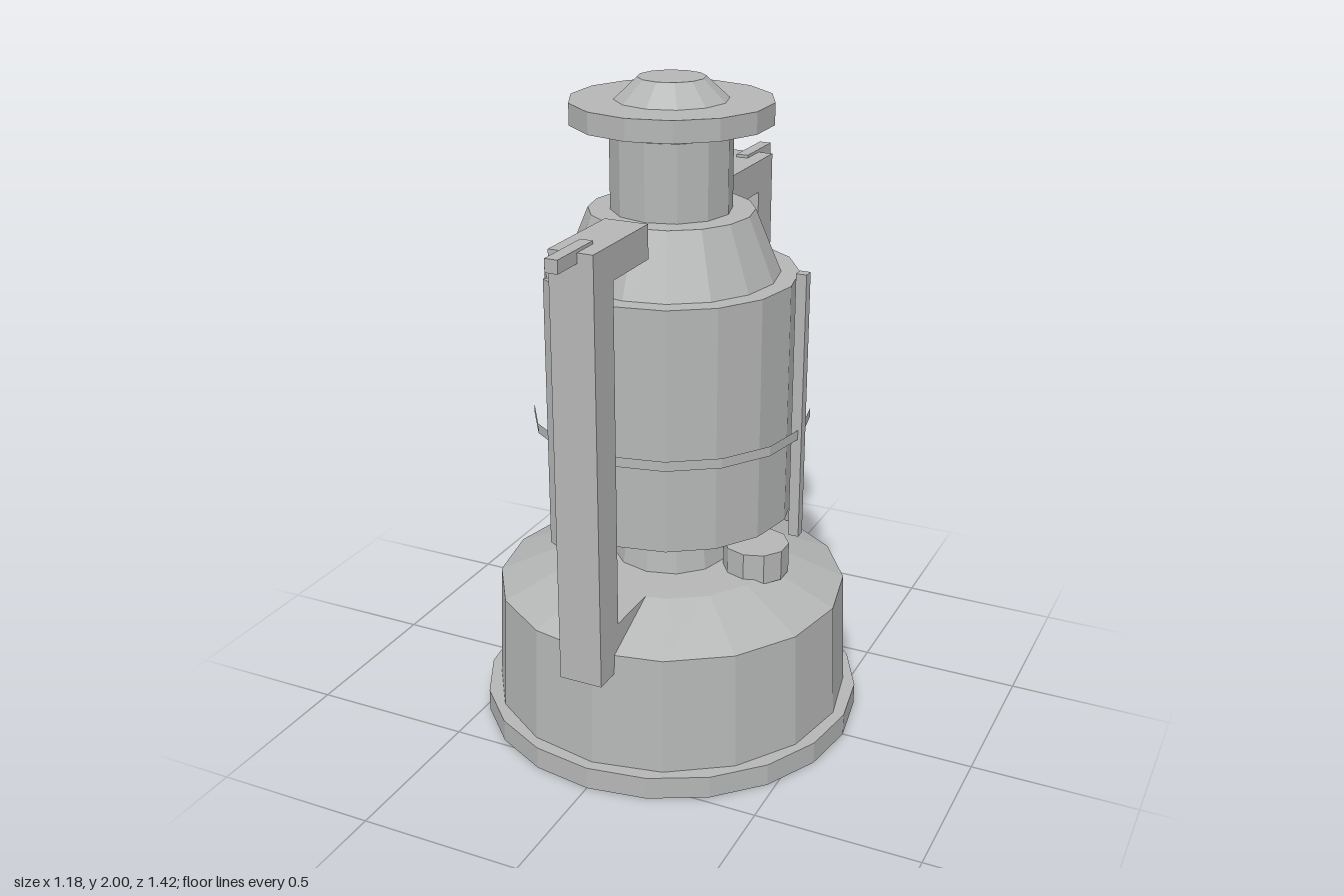
import * as THREE from 'three';

export function createModel() {
  const group = new THREE.Group();
  group.name = 'lantern';
  const metal = new THREE.MeshStandardMaterial({ color: 0xb4b6b5 });
  metal.name = 'grey metal';
  metal.flatShading = true;

  const add = (name, geometry, x = 0, y = 0, z = 0) => {
    const mesh = new THREE.Mesh(geometry, metal);
    mesh.name = name;
    mesh.position.set(x, y, z);
    group.add(mesh);
    return mesh;
  };
  // Upright drum or cone between two heights
  const drum = (name, y0, y1, rBottom, rTop, sides, open = false, x = 0) =>
    add(name, new THREE.CylinderGeometry(rTop, rBottom, y1 - y0, sides, 1, open), x, (y0 + y1) / 2, 0);

  // Fuel tank
  drum('baseRim', 0, 0.07, 0.59, 0.59, 20);
  drum('tank', 0.07, 0.435, 0.555, 0.54, 16);
  drum('tankShoulder', 0.435, 0.525, 0.54, 0.335, 16);
  drum('burnerNeck', 0.525, 0.675, 0.18, 0.158, 12);
  drum('fillerCap', 0.512, 0.607, 0.1, 0.1, 10, false, 0.285);

  // Globe, hood and chimney
  drum('globe', 0.7, 1.435, 0.375, 0.375, 16);
  drum('hood', 1.435, 1.622, 0.32, 0.243, 16);
  drum('chimney', 1.622, 1.847, 0.178, 0.178, 12);
  drum('chimneyCap', 1.875, 1.938, 0.295, 0.295, 14);
  drum('capCrown', 1.938, 2, 0.165, 0.098, 12);

  // Guard: an open thin band and three upright wires
  drum('guardBand', 0.975, 1.005, 0.418, 0.418, 16, true);
  for (let i = 0; i < 3; i++) {
    const a = (i * Math.PI * 2) / 3;
    const wire = add('guardWire', new THREE.BoxGeometry(0.032, 0.82, 0.032),
      0.41 * Math.cos(a), 1.07, 0.41 * Math.sin(a));
    wire.rotation.y = -a;
  }

  // C-shaped side frames, front and back, each with a bail lug on top
  const outline = [[0.29, 0.375], [0.61, 0.375], [0.61, 1.655], [0.29, 1.655],
    [0.29, 1.555], [0.5, 1.555], [0.5, 0.525], [0.29, 0.525]];
  const shape = new THREE.Shape(outline.map(([u, v]) => new THREE.Vector2(u, v)));
  const frame = new THREE.ExtrudeGeometry(shape, { depth: 0.132, bevelEnabled: false });
  frame.translate(0, 0, -0.066);
  for (const s of [1, -1]) {
    add('sideFrame', frame).rotation.y = -s * Math.PI / 2;
    add('bailLug', new THREE.BoxGeometry(0.038, 0.038, 0.192), 0, 1.645, s * 0.616);
  }
  return group;
}
